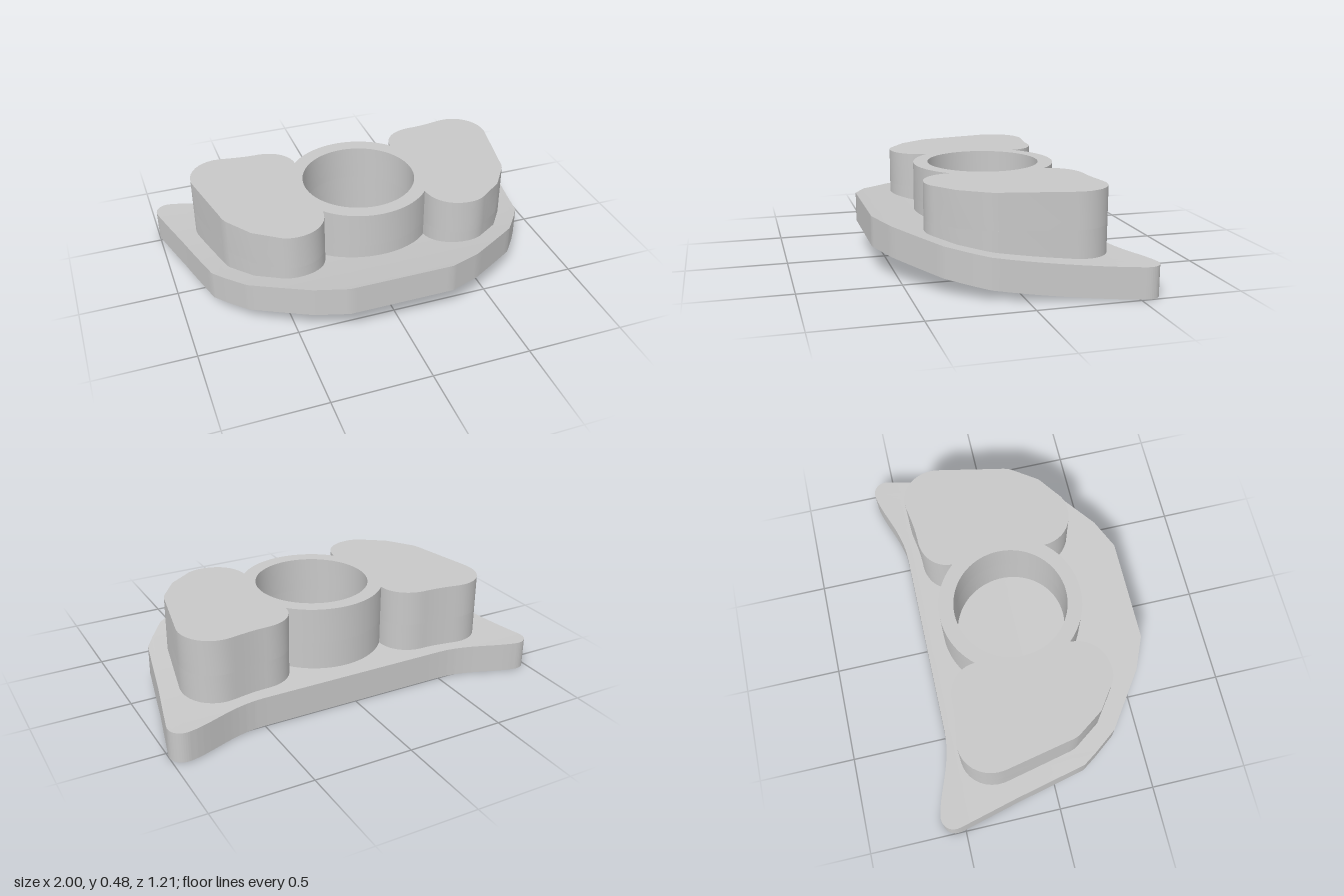
import * as THREE from 'three';
import { toCreasedNormals } from 'three/addons/utils/BufferGeometryUtils.js';

const THICK = 0.153;
const HOLE = { z: -0.032, r: 0.29 };
const RING = { z: -0.033, r: 0.365 };

// Drop points that repeat the one before (or the first one)
function tidy(pts) {
  return pts.filter((p, i) => p.distanceTo(pts[(i + pts.length - 1) % pts.length]) > 1e-4);
}

const flipX = (pts) => pts.map((p) => new THREE.Vector2(-p.x, p.y)).reverse();

// Close a half outline by mirroring it across x = 0
const mirrored = (half) => tidy([...half, ...flipX(half)]);

function circle(r, z, n = 64) {
  return Array.from({ length: n }, (_, i) => {
    const a = (i / n) * Math.PI * 2;
    return new THREE.Vector2(Math.cos(a) * r, z + Math.sin(a) * r);
  });
}

// Order points clockwise or counter-clockwise
function wind(pts, clockwise) {
  return THREE.ShapeUtils.isClockWise(pts) === clockwise ? pts : [...pts].reverse();
}

// Upright slab from a plan outline (x, z), between two heights
function slab(outline, holes, y0, y1) {
  const shape = new THREE.Shape(wind(outline, false));
  shape.holes = holes.map((h) => new THREE.Path(wind(h, true)));
  const geo = new THREE.ExtrudeGeometry(shape, { depth: y1 - y0, bevelEnabled: false });
  return geo.rotateX(Math.PI / 2).translate(0, y1, 0);
}

// Split every triangle into four
function subdivide(geo, levels) {
  let src = Array.from(geo.attributes.position.array);
  for (let l = 0; l < levels; l++) {
    const out = [];
    for (let i = 0; i < src.length; i += 9) {
      const a = src.slice(i, i + 3), b = src.slice(i + 3, i + 6), c = src.slice(i + 6, i + 9);
      const mid = (p, q) => p.map((v, k) => (v + q[k]) / 2);
      const ab = mid(a, b), bc = mid(b, c), ca = mid(c, a);
      out.push(...a, ...ab, ...ca, ...ab, ...b, ...bc, ...ca, ...bc, ...c, ...ab, ...bc, ...ca);
    }
    src = out;
  }
  const res = new THREE.BufferGeometry();
  res.setAttribute('position', new THREE.Float32BufferAttribute(src, 3));
  return res;
}

// Sweep the plate gently upward toward the front
function bend(geo) {
  const res = subdivide(geo, 3);
  const p = res.attributes.position;
  for (let i = 0; i < p.count; i++) {
    p.setY(i, p.getY(i) + 0.0915 * (p.getZ(i) + 0.607) ** 2);
  }
  return res;
}

export function createModel() {
  const group = new THREE.Group();
  const grey = new THREE.MeshStandardMaterial({ color: 0xc8c8c8 });
  grey.name = 'grey';
  const add = (name, geo) => {
    const mesh = new THREE.Mesh(toCreasedNormals(geo, 0.5), grey);
    mesh.name = name;
    group.add(mesh);
  };

  // Plate: faceted front, straight sides, rounded ears at the back
  const plate = new THREE.Path();
  plate.moveTo(0, 0.605);
  [[0.267, 0.605], [0.43, 0.537], [0.705, 0.348], [0.79, 0.235], [0.84, 0.16], [0.92, -0.21]]
    .forEach(([x, z]) => plate.lineTo(x, z));
  plate.lineTo(0.997, -0.52);
  plate.bezierCurveTo(1.01, -0.58, 0.965, -0.615, 0.92, -0.608);
  plate.bezierCurveTo(0.8, -0.59, 0.67, -0.5, 0.5, -0.5);
  plate.lineTo(0, -0.5);
  const plateOutline = mirrored(plate.getPoints(10));

  // Block: central ring merging into a wing on each side
  const ringArc = (from, to) => Array.from({ length: 13 }, (_, i) => {
    const a = from + ((to - from) * i) / 12;
    return new THREE.Vector2(Math.sin(a) * RING.r, RING.z + Math.cos(a) * RING.r);
  });
  const meet = Math.asin(0.272 / RING.r);
  const wing = new THREE.Path();
  wing.moveTo(0.272, 0.21);
  wing.bezierCurveTo(0.275, 0.31, 0.35, 0.38, 0.45, 0.38);
  wing.bezierCurveTo(0.5, 0.38, 0.53, 0.36, 0.55, 0.343);
  wing.lineTo(0.65, 0.272);
  wing.lineTo(0.742, 0.14);
  wing.quadraticCurveTo(0.755, 0.115, 0.76, 0.08);
  wing.lineTo(0.828, -0.25);
  wing.bezierCurveTo(0.845, -0.37, 0.75, -0.465, 0.64, -0.448);
  wing.bezierCurveTo(0.56, -0.435, 0.52, -0.425, 0.43, -0.425);
  wing.bezierCurveTo(0.34, -0.42, 0.275, -0.36, 0.272, -0.277);
  const blockOutline = mirrored([
    ...ringArc(0, meet), ...wing.getPoints(10), ...ringArc(Math.PI - meet, Math.PI),
  ]);

  // Hollow under each wing
  const pocketCurve = new THREE.Path();
  pocketCurve.moveTo(0.33, 0.22);
  pocketCurve.bezierCurveTo(0.34, 0.29, 0.4, 0.32, 0.45, 0.32);
  pocketCurve.quadraticCurveTo(0.49, 0.32, 0.52, 0.295);
  pocketCurve.lineTo(0.61, 0.232);
  pocketCurve.lineTo(0.685, 0.12);
  pocketCurve.lineTo(0.77, -0.26);
  pocketCurve.bezierCurveTo(0.78, -0.34, 0.71, -0.4, 0.63, -0.388);
  pocketCurve.bezierCurveTo(0.56, -0.375, 0.5, -0.365, 0.43, -0.365);
  pocketCurve.quadraticCurveTo(0.35, -0.36, 0.33, -0.29);
  const pocket = tidy(pocketCurve.getPoints(8));
  const pockets = [pocket, flipX(pocket)];
  const bore = circle(HOLE.r, HOLE.z);

  add('basePlate', bend(slab(plateOutline, [...pockets, bore], 0, THICK)));
  add('boreFloor', bend(slab(bore, [], 0, 0.08)));
  add('blockWalls', slab(blockOutline, [...pockets, bore], 0.1, 0.3));
  add('blockTop', slab(blockOutline, [bore], 0.3, 0.48));
  return group;
}
